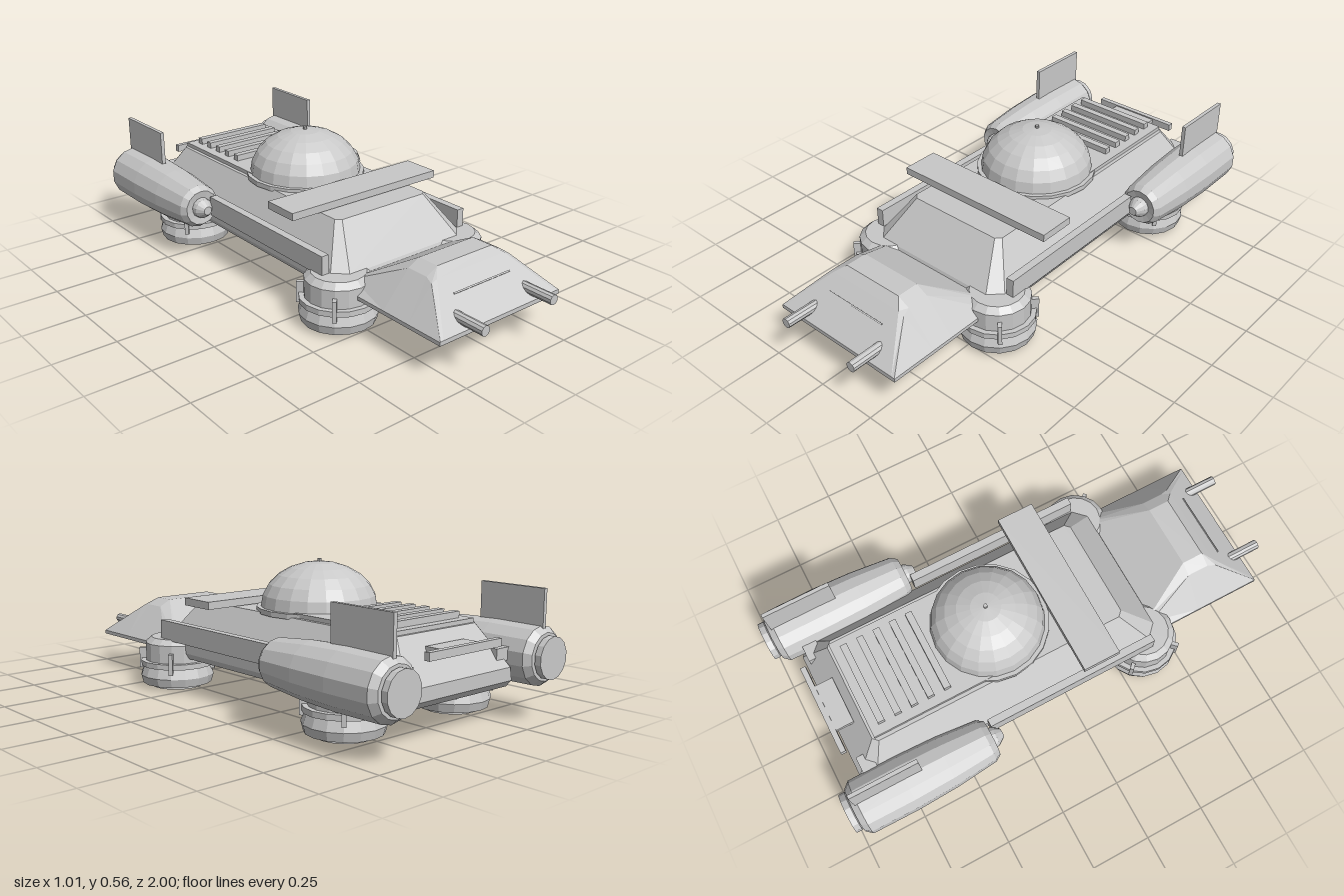
import * as THREE from 'three';

const plating = new THREE.MeshStandardMaterial({ color: 0xc8c8c8, flatShading: true });
plating.name = 'grey plating';

function add(parent, name, geometry, x = 0, y = 0, z = 0) {
  const mesh = new THREE.Mesh(geometry, plating);
  mesh.name = name;
  mesh.position.set(x, y, z);
  parent.add(mesh);
  return mesh;
}

const box = (w, h, d) => new THREE.BoxGeometry(w, h, d);
const lathe = (pts, sides) => new THREE.LatheGeometry(pts.map(([r, y]) => new THREE.Vector2(r, y)), sides);

// Skin over convex rings, each counter-clockwise about the direction of travel
function loft(rings) {
  const pos = [];
  const n = rings[0].length;
  const tri = (a, b, c) => pos.push(...a, ...b, ...c);
  for (let i = 0; i < rings.length - 1; i++) {
    for (let j = 0; j < n; j++) {
      const k = (j + 1) % n;
      const [a, b, c, d] = [rings[i][j], rings[i][k], rings[i + 1][k], rings[i + 1][j]];
      tri(a, b, c);
      tri(a, c, d);
    }
  }
  const first = rings[0], last = rings[rings.length - 1];
  for (let j = 1; j < n - 1; j++) {
    tri(first[0], first[j + 1], first[j]);
    tri(last[0], last[j], last[j + 1]);
  }
  const geometry = new THREE.BufferGeometry();
  geometry.setAttribute('position', new THREE.Float32BufferAttribute(pos, 3));
  geometry.computeVertexNormals();
  return geometry;
}

// Rectangle with cut corners at height y
function hullRing(y, hx, zBack, zFront, c) {
  return [
    [-hx + c, y, zFront], [hx - c, y, zFront], [hx, y, zFront - c], [hx, y, zBack + c],
    [hx - c, y, zBack], [-hx + c, y, zBack], [-hx, y, zBack + c], [-hx, y, zFront - c],
  ];
}

// Nose cross-section: flat base, shoulder, narrow top
function noseRing(z, shoulderX, shoulderY, topX, topY) {
  return [
    [-0.3, 0.14, z], [0.3, 0.14, z], [0.3, 0.155, z], [shoulderX, shoulderY, z], [topX, topY, z],
    [-topX, topY, z], [-shoulderX, shoulderY, z], [-0.3, 0.155, z],
  ];
}

function hoverPod() {
  const pod = new THREE.Group();
  pod.name = 'hoverPod';
  add(pod, 'podBody', lathe([
    [0, 0], [0.105, 0], [0.105, 0.016], [0.143, 0.016], [0.152, 0.05], [0.138, 0.09],
    [0.15, 0.09], [0.15, 0.112], [0.13, 0.112], [0.13, 0.185], [0.105, 0.207], [0, 0.207],
  ], 16));
  // Clips across the pod ring
  for (let i = 0; i < 4; i++) {
    const a = Math.PI / 4 + i * Math.PI / 2;
    const clip = add(pod, 'podClip', box(0.016, 0.085, 0.03), Math.sin(a) * 0.142, 0.113, Math.cos(a) * 0.142);
    clip.rotation.y = a;
  }
  return pod;
}

function engine() {
  const group = new THREE.Group();
  group.name = 'engine';
  // Profile runs from the rear nozzle to the intake spike
  const shell = add(group, 'engineShell', lathe([
    [0, -1], [0.08, -1], [0.08, -0.975], [0.072, -0.97], [0.09, -0.97], [0.112, -0.945], [0.114, -0.75],
    [0.107, -0.58], [0.09, -0.405], [0.073, -0.38], [0.043, -0.385], [0.04, -0.365], [0.018, -0.335], [0, -0.335],
  ], 14));
  shell.rotation.x = Math.PI / 2;
  add(group, 'engineFin', box(0.016, 0.16, 0.28), 0, 0.168, -0.815);
  return group;
}

export function createModel() {
  const model = new THREE.Group();
  model.name = 'hoverVehicle';

  // Main hull
  add(model, 'hull', loft([
    hullRing(0.13, 0.31, -0.88, 0.45, 0.03),
    hullRing(0.155, 0.325, -0.9, 0.45, 0.04),
    hullRing(0.205, 0.325, -0.9, 0.43, 0.05),
    hullRing(0.36, 0.225, -0.79, 0.3, 0.02),
  ]));

  // Wedge nose with slot and twin barrels
  add(model, 'nose', loft([
    noseRing(0.43, 0.26, 0.185, 0.24, 0.19),
    noseRing(0.64, 0.185, 0.285, 0.135, 0.312),
    noseRing(0.73, 0.185, 0.285, 0.135, 0.312),
    noseRing(0.765, 0.195, 0.275, 0.17, 0.285),
    noseRing(0.92, 0.299, 0.156, 0.285, 0.157),
  ]));
  const slot = add(model, 'noseSlot', box(0.28, 0.006, 0.008), 0, 0.241, 0.818);
  slot.rotation.x = -0.87;

  // Engine deck with slats
  add(model, 'engineDeck', box(0.42, 0.018, 0.58), 0, 0.367, -0.49);
  for (let i = 0; i < 5; i++) {
    add(model, 'deckSlat', box(0.345, 0.025, 0.028), 0, 0.388, -0.45 - i * 0.07);
  }
  add(model, 'rearBar', box(0.38, 0.03, 0.022), 0, 0.31, -0.91);
  add(model, 'rearBarBracket', box(0.2, 0.02, 0.08), 0, 0.31, -0.865);

  // Dome and its ring
  add(model, 'domeRing', new THREE.CylinderGeometry(0.245, 0.245, 0.02, 20), 0, 0.363, -0.19);
  const dome = new THREE.SphereGeometry(0.228, 20, 6, 0, Math.PI * 2, 0, Math.PI / 2);
  dome.scale(1, 0.76, 1);
  add(model, 'dome', dome, 0, 0.373, -0.19);
  add(model, 'domeStud', new THREE.CylinderGeometry(0.008, 0.008, 0.02, 8), 0, 0.547, -0.19);

  // Crosswise wing in front of the dome
  add(model, 'crossWing', box(0.72, 0.03, 0.155), 0, 0.378, 0.125);

  for (const side of [-1, 1]) {
    const barrel = add(model, 'barrel', new THREE.CylinderGeometry(0.02, 0.02, 0.18, 10), side * 0.172, 0.188, 0.91);
    barrel.rotation.x = Math.PI / 2;
    add(model, 'sideRail', box(0.032, 0.08, 0.74), side * 0.345, 0.242, 0.005);
    add(model, 'engineMount', box(0.16, 0.05, 0.06), side * 0.3, 0.25, -0.85);

    const nacelle = engine();
    nacelle.position.set(side * 0.392, 0.237, 0);
    model.add(nacelle);

    for (const z of [0.375, -0.625]) {
      const pod = hoverPod();
      pod.position.set(side * 0.283, 0, z);
      model.add(pod);
    }
  }
  return model;
}
